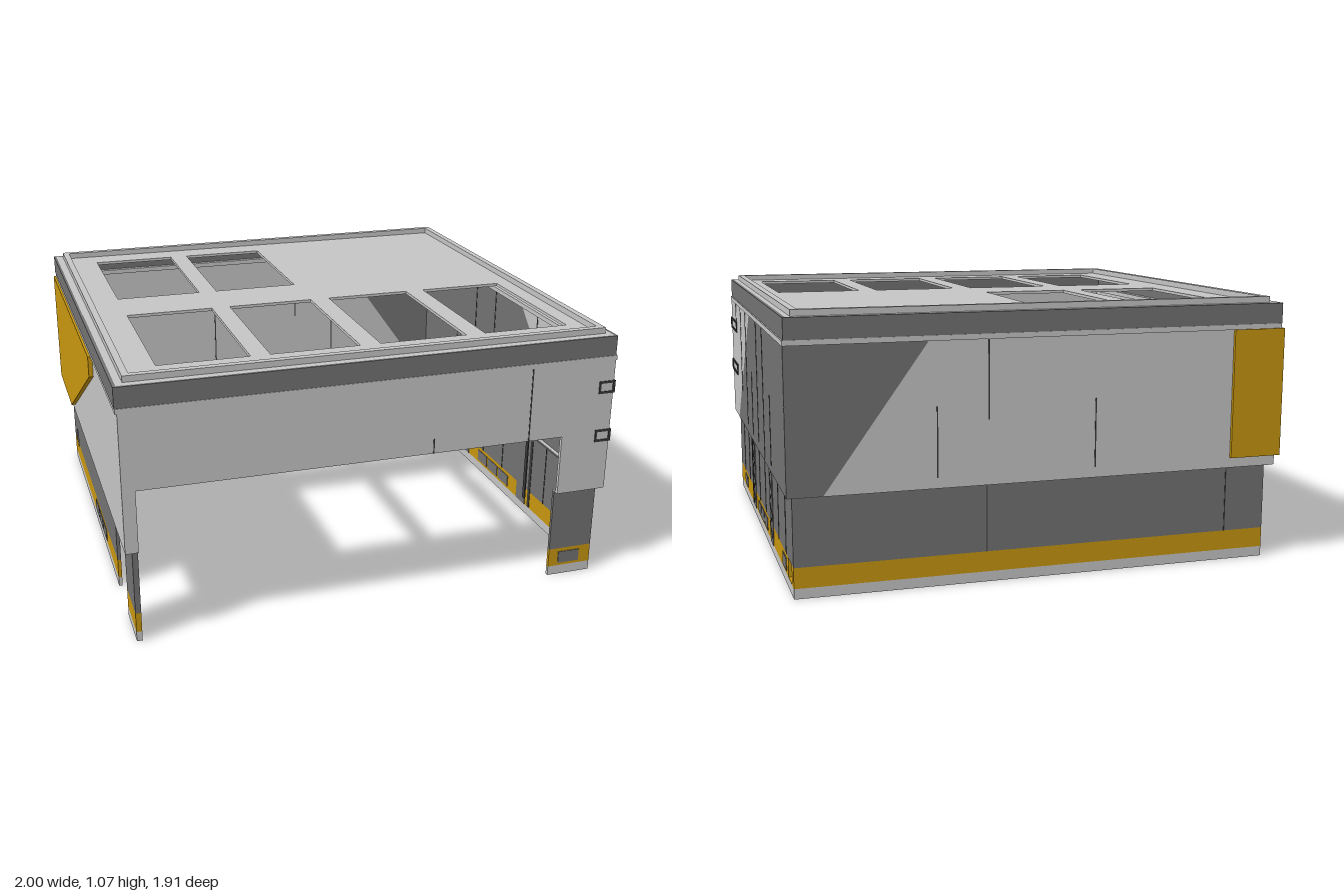
import * as THREE from 'three';

const mat = (name, color) => {
  const m = new THREE.MeshStandardMaterial({ color });
  m.name = name;
  return m;
};

export function createModel() {
  const light = mat('light grey', 0xc6c6c6);
  const dark = mat('dark grey', 0x737373);
  const yellow = mat('ochre yellow', 0xc8960f);
  const char = mat('charcoal', 0x3c3c3c);
  const model = new THREE.Group();

  const poly = (Type, pts) => new Type(pts.map(p => new THREE.Vector2(...p)));
  const rect = (u0, u1, v0, v1) => [[u0, v0], [u1, v0], [u1, v1], [u0, v1]];
  const add = (name, geo, material, parent = model) => {
    const mesh = new THREE.Mesh(geo, material);
    mesh.name = name;
    parent.add(mesh);
    return mesh;
  };
  const extrude = (pts, holes, depth) => {
    const s = poly(THREE.Shape, pts);
    s.holes = holes.map(h => poly(THREE.Path, h));
    return new THREE.ExtrudeGeometry(s, { depth, bevelEnabled: false });
  };
  // upright panel centred on a plane; outline runs along x or z, and up y
  const panel = (name, axis, at, pts, material, t = 0.015, holes = [], parent = model) => {
    const g = extrude(pts, holes, t).translate(0, 0, -t / 2);
    if (axis === 'z') g.rotateY(-Math.PI / 2).translate(at, 0, 0);
    else g.translate(0, 0, at);
    return add(name, g, material, parent);
  };
  // level slab, outline in x and z
  const slab = (name, pts, holes, y0, y1, material) =>
    add(name, extrude(pts, holes, y1 - y0).rotateX(Math.PI / 2).translate(0, y1, 0), material);
  const ring = (name, x0, x1, z0, z1, w, y0, y1, material) =>
    slab(name, rect(x0, x1, z0, z1), [rect(x0 + w, x1 - w, z0 + w, z1 - w)], y0, y1, material);

  // lower walls: base course, yellow stripe, dark wall
  const L = -0.945, R = 0.965, F = 0.92, B = -0.91;
  const lower = new THREE.Group();
  lower.name = 'lowerWalls';
  model.add(lower);
  const holesFor = { rightWall: [[-0.87, -0.78, 0.043, 0.1199]], leftWall: [[-0.84, -0.78, 0.1, 0.18], [-0.49, -0.39, 0.3, 0.375]] };
  const walls = [
    ['rightWall', 'z', R, -0.917, 0.927],
    ['leftWall', 'z', L, -0.917, 0.49],
    ['leftFrontPier', 'z', L, 0.73, 0.927],
    ['backWall', 'x', B, -0.952, 0.972],
    ['frontRightPier', 'x', F, 0.782, 0.972],
    ['frontLeftPier', 'x', F, -0.952, -0.93],
  ];
  const courses = [['Base', 0, 0.04, light], ['Stripe', 0.04, 0.12, yellow], ['Panel', 0.12, 0.39, dark]];
  for (const [name, axis, at, u0, u1] of walls) {
    for (const [part, y0, y1, m] of courses) {
      // clip each opening to the course it crosses
      const holes = (holesFor[name] || [])
        .map(([a, b, c, d]) => [a, b, Math.max(c, y0 + 0.0002), Math.min(d, y1 - 0.0002)])
        .filter(h => h[3] - h[2] > 0.005).map(h => rect(...h));
      panel(name + part, axis, at, rect(u0, u1, y0, y1), m, 0.014, holes, lower);
    }
  }

  // vents in the yellow stripe
  const vent = (axis, at, u0, u1) => panel('vent', axis, at, rect(u0, u1, 0.052, 0.104), dark, 0.02);
  for (const u of [0.64, 0.08, -0.035, -0.15, -0.73]) vent('z', R, u, u + 0.1);
  for (const u of [0.08, -0.035, -0.15]) vent('z', L, u, u + 0.1);
  vent('x', F, 0.825, 0.92);

  // service strips with zigzag bracing on the right wall
  for (const z of [0.275, -0.345]) {
    const strip = new THREE.Group();
    strip.name = 'serviceStrip';
    model.add(strip);
    panel('stripPlate', 'z', R, rect(z, z + 0.085, 0.04, 0.389), dark, 0.02, [], strip);
    for (let i = 0; i < 6; i++) {
      const bar = add('brace', new THREE.BoxGeometry(0.004, 0.006, 0.08), char, strip);
      bar.position.set(R + 0.01, 0.09 + i * 0.05, z + 0.042);
      bar.rotation.x = i % 2 ? 0.55 : -0.55;
    }
  }
  panel('yellowEdge', 'z', R, rect(-0.262, -0.256, 0.12, 0.389), yellow, 0.02);
  panel('cableDuct', 'z', R, rect(0.385, 0.405, 0.04, 0.389), char, 0.018);

  // upper walls
  const y0 = 0.39, y1 = 0.946, UR = 0.987, UL = -0.973, UF = 0.946, UB = -0.937;
  panel('upperFrontWall', 'x', UF, [[-0.98, y0], [-0.93, y0], [-0.93, 0.64], [0.782, 0.64],
    [0.782, y0], [0.994, y0], [0.994, y1], [-0.98, y1]], light);
  panel('upperLeftWall', 'z', UL, rect(-0.944, 0.953, y0, y1), light);
  panel('upperRightWallLight', 'z', UR, [[0.74, y0], [0.953, y0], [0.953, y1], [0.16, y1]], light);
  panel('upperRightWallDark', 'z', UR, [[-0.944, y0], [0.74, y0], [0.16, y1], [-0.944, y1]], dark);
  panel('upperBackWallLight', 'x', UB, [[-0.98, y0], [0.86, y0], [0.46, y1], [-0.98, y1]], light);
  panel('upperBackWallDark', 'x', UB, [[0.86, y0], [0.994, y0], [0.994, y1], [0.46, y1]], dark);
  ring('soffit', -0.975, 0.99, -0.94, 0.95, 0.037, 0.388, 0.394, light);
  // open the soffit visually with the wall above the doorway
  model.remove(model.getObjectByName('soffit'));
  panel('soffitRight', 'z', 0.978, rect(-0.94, 0.95, 0.388, 0.394), light, 0.03);
  panel('soffitLeft', 'z', -0.96, rect(-0.94, 0.95, 0.388, 0.394), light, 0.035);
  panel('soffitBack', 'x', -0.924, rect(-0.975, 0.99, 0.388, 0.394), light, 0.035);
  panel('soffitFront', 'x', 0.934, rect(0.782, 0.99, 0.388, 0.394), light, 0.035);

  // yellow cladding wrapping the back left corner
  panel('yellowSideCladding', 'z', -0.98, [[-0.957, 0.43], [-0.52, 0.43], [0.31, 0.86], [0.31, y1], [-0.957, y1]], yellow, 0.036);
  panel('yellowBackCladding', 'x', -0.941, rect(-0.998, -0.78, 0.43, y1), yellow, 0.032);

  // panel seams
  const seam = (axis, at, u, a, b, w = 0.007, t = 0.018) => panel('seam', axis, at, rect(u - w / 2, u + w / 2, a, b), char, t);
  for (const [u, a, b] of [[0.74, 0.86, y1], [0.53, 0.55, y1], [0.32, 0.43, y1], [0.11, 0.42, 0.7],
    [-0.1, 0.43, y1], [-0.31, y0, y1], [-0.52, 0.42, 0.7]]) seam('z', UR, u, a, b);
  for (const u of [0.74, 0.53, 0.11, -0.1, -0.52, -0.73]) seam('z', R, u, 0.12, y0, 0.004);
  for (const u of [-0.78, 0.23]) seam('x', B, u, 0.12, y0, 0.004);
  for (const [u, a, b] of [[0.43, 0.43, 0.7], [-0.2, 0.43, 0.7], [0.23, 0.64, y1]]) seam('x', UB, u, a, b, 0.005);
  seam('x', UF, 0.635, y0, y1, 0.005);
  seam('x', UF, 0.23, 0.64, 0.7, 0.005);

  // outlined brackets wrapping the front right corner
  for (const [a, b] of [[0.808, 0.86], [0.6, 0.652]]) {
    const inner = 0.009;
    panel('bracketSide', 'z', 0.995, rect(0.71, 0.957, a, b), char, 0.01, [rect(0.718, 0.949, a + inner, b - inner)]);
    panel('bracketFront', 'x', 0.952, rect(0.93, 1, a, b), char, 0.01, [rect(0.938, 0.992, a + inner, b - inner)]);
  }

  // cornice, parapet band and rim
  ring('cornice', -0.988, 0.997, -0.95, 0.957, 0.035, 0.945, 0.965, light);
  ring('parapetBand', -0.99, 0.992, -0.948, 0.955, 0.012, 0.965, 1.046, dark);
  ring('roofRim', -0.95, 0.96, -0.913, 0.913, 0.027, 1.045, 1.07, light);

  // roof with six skylight openings
  const skylights = [];
  [-0.805, -0.37, 0.07, 0.508].forEach((x, i) => {
    skylights.push(rect(x, x + 0.358, 0.125, 0.77));
    if (i < 2) skylights.push(rect(x, x + 0.358, -0.77, -0.125));
  });
  slab('roof', rect(-0.98, 0.982, -0.938, 0.945), skylights, 1.034, 1.046, light);

  return model;
}
